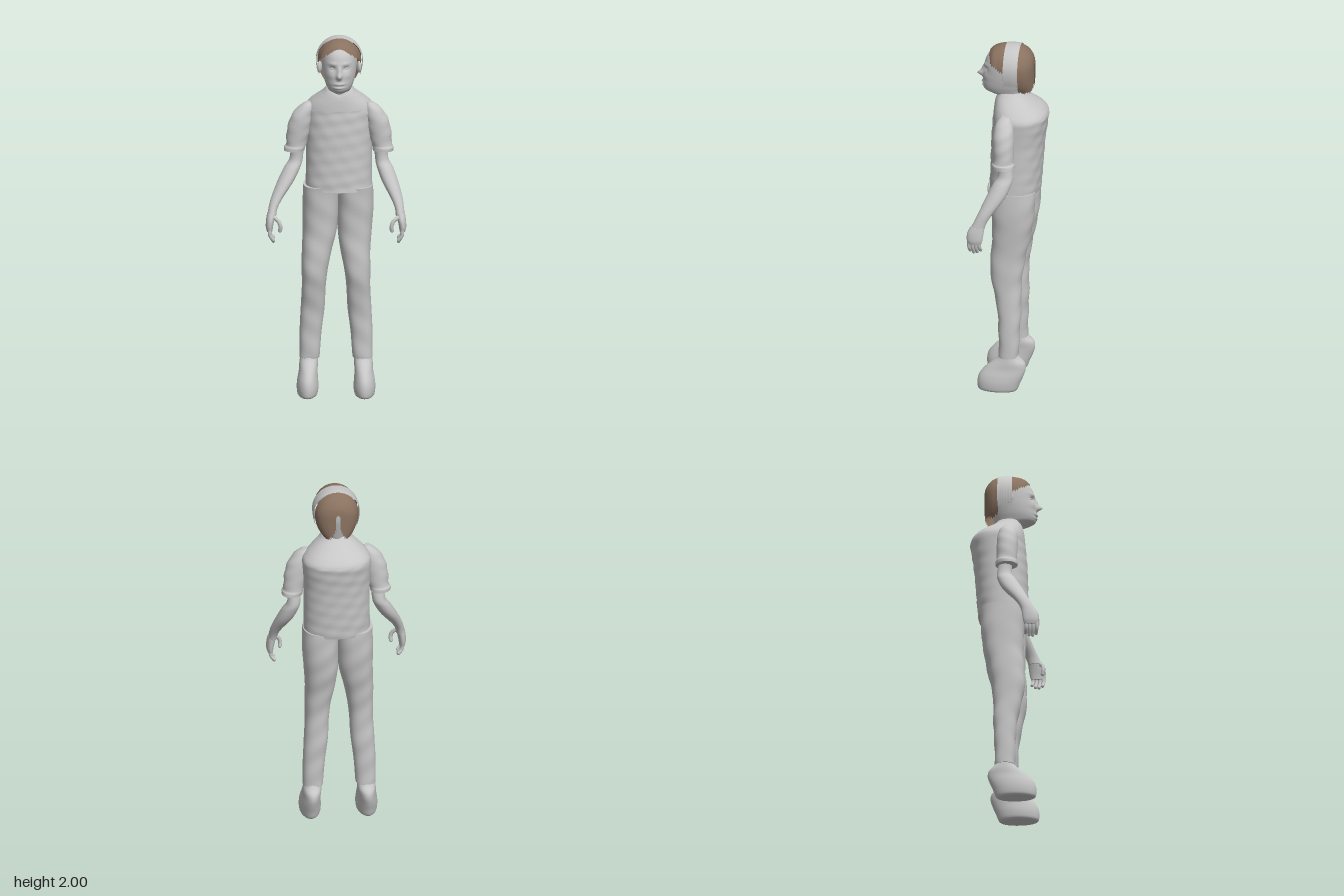
import * as THREE from 'three';

const grey = new THREE.MeshStandardMaterial({ color: 0xc6c6c6 });
grey.name = 'plain grey';
const greyThin = new THREE.MeshStandardMaterial({ color: 0xc6c6c6, side: THREE.DoubleSide });
greyThin.name = 'plain grey sheet';
const brown = new THREE.MeshStandardMaterial({ color: 0x8a7260, side: THREE.DoubleSide });
brown.name = 'hair brown';

const spline = (a, b, c, d, t) =>
  0.5 * (2 * b + (c - a) * t + (2 * a - 5 * b + 4 * c - d) * t * t + (3 * b - a - 3 * c + d) * t * t * t);

// Fill in smooth in-between rows
function refine(rows, steps) {
  const out = [];
  const at = i => rows[Math.min(Math.max(i, 0), rows.length - 1)];
  for (let i = 0; i < rows.length - 1; i++)
    for (let s = 0; s < steps; s++)
      out.push(rows[i].map((_, k) => spline(at(i - 1)[k], at(i)[k], at(i + 1)[k], at(i + 2)[k], s / steps)));
  out.push(rows[rows.length - 1]);
  return out;
}

function mesh(name, geo, mat = grey) {
  const m = new THREE.Mesh(geo, mat);
  m.name = name;
  return m;
}

// Closed loft through rows of [y, x0, x1, z0, z1], bottom to top
function loft(rows, { power = 2, steps = 4, sides = 32, warp } = {}) {
  const pos = [], idx = [], rings = refine(rows, steps);
  const v = new THREE.Vector3();
  const e = 2 / power;
  for (const [y, x0, x1, z0, z1] of rings)
    for (let j = 0; j < sides; j++) {
      const a = j / sides * Math.PI * 2, c = Math.cos(a), s = Math.sin(a);
      v.set((x0 + x1) / 2 + (x1 - x0) / 2 * Math.sign(c) * Math.abs(c) ** e, y,
        (z0 + z1) / 2 + (z1 - z0) / 2 * Math.sign(s) * Math.abs(s) ** e);
      if (warp) warp(v, a);
      pos.push(v.x, v.y, v.z);
    }
  for (let i = 0; i < rings.length - 1; i++)
    for (let j = 0; j < sides; j++) {
      const a = i * sides + j, b = i * sides + (j + 1) % sides;
      idx.push(a, a + sides, b, b, a + sides, b + sides);
    }
  // End caps with their own vertices keep the rims crisp
  for (const [ring, top] of [[0, false], [rings.length - 1, true]]) {
    const [y, x0, x1, z0, z1] = rings[ring], base = pos.length / 3;
    pos.push((x0 + x1) / 2, y, (z0 + z1) / 2);
    for (let j = 0; j < sides; j++) {
      const k = (ring * sides + j) * 3;
      pos.push(pos[k], pos[k + 1], pos[k + 2]);
      const p = base + 1 + j, q = base + 1 + (j + 1) % sides;
      if (top) idx.push(base, q, p); else idx.push(base, p, q);
    }
  }
  const g = new THREE.BufferGeometry();
  g.setAttribute('position', new THREE.Float32BufferAttribute(pos, 3));
  g.setIndex(idx);
  g.computeVertexNormals();
  return g;
}

// Hair sheet: arches over the head, rows of [z, halfWidth, topY, hemY], ragged hem
function arch(rows, steps, ragged) {
  const pos = [], idx = [], n = 28, list = refine(rows, steps);
  list.forEach(([z, rx, top, hem], i) => {
    const low = hem + (i % 2 ? ragged : -ragged * 0.4) * (1 + 0.5 * Math.sin(i * 2.3));
    const h = top - 1.87;
    const end = Math.acos(THREE.MathUtils.clamp((low - 1.87) / (low > 1.87 ? h : 0.17), -0.95, 0.95));
    for (let j = 0; j <= n; j++) {
      const a = (j / n * 2 - 1) * end, c = Math.cos(a);
      pos.push(0.018 + rx * Math.sin(a), 1.87 + c * (c > 0 ? h : 0.17), z);
    }
  });
  for (let i = 0; i < list.length - 1; i++)
    for (let j = 0; j < n; j++) {
      const a = i * (n + 1) + j, b = a + n + 1;
      idx.push(a, a + 1, b, b, a + 1, b + 1);
    }
  const g = new THREE.BufferGeometry();
  g.setAttribute('position', new THREE.Float32BufferAttribute(pos, 3));
  g.setIndex(idx);
  // Rows run front to back, so flip to face outward
  g.index.array.forEach((_, k, arr) => { if (k % 3 === 1) [arr[k], arr[k + 1]] = [arr[k + 1], arr[k]]; });
  g.computeVertexNormals();
  return g;
}

function tube(points, r, name) {
  const pts = points.map(p => new THREE.Vector3(...p));
  const grp = new THREE.Group();
  grp.name = name;
  grp.add(mesh(name + 'Shaft', new THREE.TubeGeometry(new THREE.CatmullRomCurve3(pts), 10, r, 8)));
  const tip = mesh(name + 'Tip', new THREE.SphereGeometry(r, 8, 6));
  tip.position.copy(pts[pts.length - 1]);
  grp.add(tip);
  return grp;
}

// Rows written for the left (+x); the right is mirrored. Upper arms sit slightly off centre
const shift = y => 0.016 * THREE.MathUtils.clamp((y - 1.05) / 0.25, 0, 1);
const onSide = (rows, side, off = () => 0) => rows.map(([y, a, b, z0, z1]) =>
  [y, (side > 0 ? a : -b) + off(y), (side > 0 ? b : -a) + off(y), z0, z1]);

const bump = (v, x, y, sx, sy) => Math.exp(-(((v.x - 0.018 - x) / sx) ** 2) - ((v.y - y) / sy) ** 2);

function faceWarp(v) {
  if (v.z < 0.06) return;
  const y = v.y;
  v.z += 0.034 * bump(v, 0, 1.815, 0.013, 0.016) + 0.014 * bump(v, 0, 1.845, 0.011, 0.022)
    + 0.008 * bump(v, 0, 1.771, 0.026, 0.007) - 0.006 * bump(v, 0, 1.76, 0.03, 0.004)
    + 0.007 * bump(v, 0, 1.75, 0.024, 0.006) + 0.004 * bump(v, 0, 1.728, 0.02, 0.012);
  for (const s of [-1, 1])
    v.z += 0.006 * bump(v, s * 0.036, 1.882, 0.024, 0.009) - 0.012 * bump(v, s * 0.036, 1.855, 0.017, 0.011)
      + 0.005 * bump(v, s * 0.045, 1.815, 0.02, 0.018);
  v.y = y;
}

function makeHead() {
  const head = new THREE.Group();
  head.name = 'head';
  head.add(mesh('faceAndNeck', loft([
    [1.64, -0.05, 0.086, -0.07, 0.07], [1.7, -0.042, 0.078, -0.06, 0.085], [1.715, -0.042, 0.078, -0.06, 0.12],
    [1.73, -0.048, 0.084, -0.065, 0.152], [1.76, -0.06, 0.096, -0.075, 0.162], [1.8, -0.07, 0.106, -0.088, 0.16],
    [1.84, -0.076, 0.112, -0.1, 0.156], [1.88, -0.078, 0.114, -0.106, 0.152], [1.92, -0.076, 0.112, -0.104, 0.141],
    [1.95, -0.066, 0.102, -0.09, 0.118], [1.975, -0.042, 0.078, -0.06, 0.085], [1.988, -0.01, 0.046, -0.02, 0.04],
  ], { sides: 80, steps: 7, warp: faceWarp })));
  for (const s of [-1, 1]) {
    const eye = mesh('eye', new THREE.SphereGeometry(0.011, 14, 10));
    eye.scale.set(1.2, 0.7, 0.7);
    eye.position.set(0.018 + s * 0.036, 1.854, 0.13);
    const ear = mesh('ear', new THREE.SphereGeometry(0.03, 14, 10));
    ear.scale.set(0.4, 1.1, 0.7);
    ear.position.set(0.018 + s * 0.107, 1.835, 0.02);
    ear.rotation.y = s * 0.35;
    head.add(eye, ear);
  }
  head.add(mesh('frontHair', arch([
    [0.123, 0.07, 1.958, 1.93], [0.1, 0.102, 1.978, 1.9], [0.065, 0.112, 1.992, 1.88], [0.03, 0.12, 1.997, 1.86],
  ], 6, 0.01), brown));
  head.add(mesh('crownBand', arch([
    [0.034, 0.126, 1.999, 1.785], [-0.01, 0.128, 2, 1.79], [-0.046, 0.125, 1.997, 1.78],
  ], 6, 0.012), greyThin));
  head.add(mesh('backHair', arch([
    [-0.044, 0.119, 1.994, 1.745], [-0.075, 0.108, 1.98, 1.735], [-0.1, 0.085, 1.955, 1.738],
    [-0.116, 0.052, 1.925, 1.75], [-0.122, 0.012, 1.89, 1.8],
  ], 6, 0.01), brown));
  return head;
}

function makeArm(side) {
  const arm = new THREE.Group();
  arm.name = side > 0 ? 'leftArm' : 'rightArm';
  // Short sleeve with a flared cuff
  arm.add(mesh('sleeve', loft(onSide([
    [1.365, 0.185, 0.298, -0.05, 0.072], [1.385, 0.182, 0.297, -0.05, 0.072], [1.4, 0.178, 0.288, -0.044, 0.066],
    [1.47, 0.16, 0.284, -0.044, 0.07], [1.54, 0.148, 0.268, -0.042, 0.072], [1.59, 0.142, 0.24, -0.034, 0.064],
    [1.62, 0.142, 0.21, -0.022, 0.05], [1.637, 0.155, 0.182, -0.008, 0.034],
  ], side, shift), { warp: v => { v.x += 0.002 * Math.sin(v.y * 90 + v.z * 40); } })));
  arm.add(mesh('forearm', loft(onSide([
    [1.03, 0.325, 0.374, 0.1, 0.178], [1.07, 0.318, 0.368, 0.086, 0.158], [1.12, 0.292, 0.357, 0.055, 0.135],
    [1.2, 0.24, 0.328, -0.005, 0.1], [1.27, 0.208, 0.296, -0.035, 0.066], [1.32, 0.196, 0.268, -0.042, 0.04],
    [1.42, 0.19, 0.262, -0.025, 0.045],
  ], side, shift))));
  // Hand: palm, four fingers, thumb
  arm.add(mesh('palm', loft(onSide([
    [0.945, 0.345, 0.376, 0.115, 0.186], [0.97, 0.342, 0.382, 0.108, 0.194], [1.01, 0.334, 0.38, 0.102, 0.192],
    [1.045, 0.326, 0.374, 0.098, 0.174],
  ], side), { sides: 20 })));
  for (let f = 0; f < 4; f++) {
    const z = 0.125 + f * 0.019, len = [0.905, 0.893, 0.89, 0.9][f];
    arm.add(tube([[side * 0.362, 0.96, z], [side * 0.358, 0.925, z], [side * 0.34, len, z - 0.004]], 0.0095, 'finger'));
  }
  arm.add(tube([[side * 0.345, 1.03, 0.165], [side * 0.315, 1.01, 0.18], [side * 0.302, 0.98, 0.184],
    [side * 0.304, 0.955, 0.18]], 0.011, 'thumb'));
  return arm;
}

function makeLeg(side) {
  const leg = new THREE.Group();
  leg.name = side > 0 ? 'leftLeg' : 'rightLeg';
  const hip = y => 0.011 * THREE.MathUtils.clamp((y - 0.8) / 0.2, 0, 1);
  leg.add(mesh('trouserLeg', loft(onSide([
    [0.2, 0.09, 0.199, -0.055, 0.052], [0.22, 0.088, 0.199, -0.056, 0.054], [0.35, 0.078, 0.198, -0.06, 0.056],
    [0.48, 0.062, 0.192, -0.066, 0.066], [0.6, 0.056, 0.186, -0.066, 0.09], [0.7, 0.044, 0.187, -0.075, 0.105],
    [0.8, 0.024, 0.186, -0.092, 0.102], [0.92, 0.002, 0.188, -0.118, 0.096], [1.05, -0.002, 0.193, -0.136, 0.102],
    [1.17, -0.002, 0.19, -0.14, 0.11],
  ], side, hip), { power: 2.3, steps: 6, warp: v => { v.z += 0.002 * Math.sin(v.y * 45 + v.x * 30); } })));
  leg.add(mesh('shoe', loft(onSide([
    [0, 0.112, 0.2, -0.04, 0.158], [0.012, 0.1, 0.21, -0.052, 0.168], [0.05, 0.095, 0.214, -0.066, 0.17],
    [0.09, 0.098, 0.21, -0.083, 0.16], [0.13, 0.1, 0.202, -0.095, 0.13], [0.165, 0.098, 0.2, -0.09, 0.09],
    [0.195, 0.098, 0.196, -0.062, 0.056], [0.23, 0.1, 0.19, -0.045, 0.042],
  ], side))));
  return leg;
}

export function createModel() {
  const model = new THREE.Group();
  model.name = 'standingFigure';
  // Shirt body with rounded shoulders, soft wrinkles and a dipped neckline
  model.add(mesh('shirt', loft([
    [1.15, -0.165, 0.197, -0.152, 0.122], [1.2, -0.165, 0.196, -0.158, 0.12], [1.32, -0.163, 0.196, -0.167, 0.116],
    [1.45, -0.163, 0.197, -0.178, 0.112], [1.55, -0.166, 0.204, -0.192, 0.105], [1.6, -0.166, 0.205, -0.196, 0.101],
    [1.635, -0.146, 0.182, -0.172, 0.098], [1.67, -0.108, 0.144, -0.125, 0.094], [1.7, -0.074, 0.11, -0.08, 0.09],
    [1.725, -0.054, 0.09, -0.056, 0.084],
  ], {
    power: 2.25, sides: 56, steps: 7,
    warp: v => {
      if (v.y < 1.6) v.z += 0.0025 * Math.sin(v.y * 70 + v.x * 25) * Math.cos(v.x * 38 - v.y * 20);
      if (v.z > 0.03) v.y -= 0.035 * Math.max(0, (v.y - 1.66) / 0.065) * Math.max(0, 1 - Math.abs(v.x - 0.018) / 0.07);
    },
  })));
  model.add(makeHead());
  for (const side of [-1, 1]) model.add(makeArm(side), makeLeg(side));
  return model;
}
